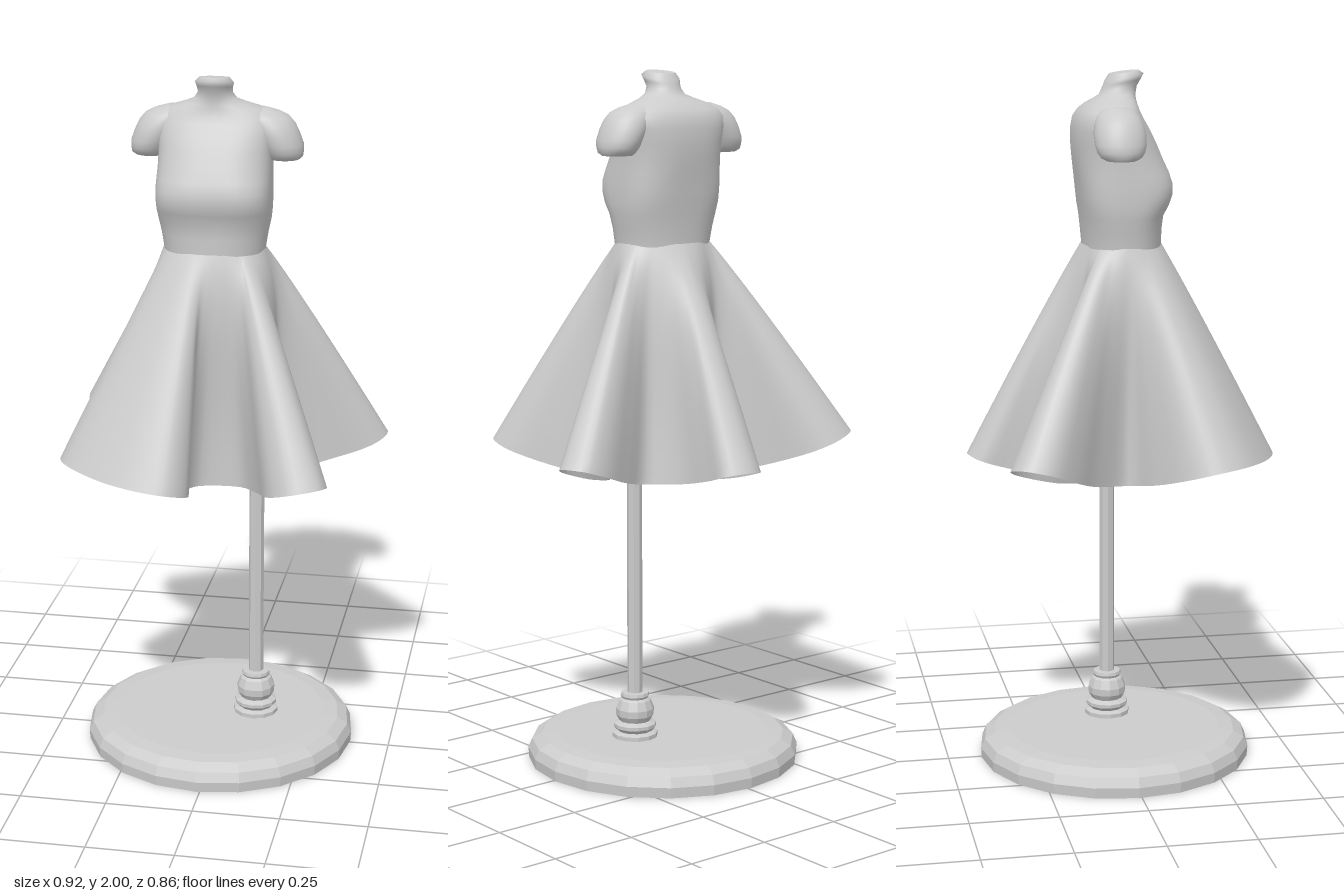
import * as THREE from 'three';

const grey = new THREE.MeshStandardMaterial({ color: 0xcccccc, side: THREE.DoubleSide });
const faceted = new THREE.MeshStandardMaterial({ color: 0xcccccc, flatShading: true });

// Skins closed rings of points, listed from bottom to top.
function loft(name, rings) {
  const n = rings[0].length;
  const index = [];
  for (let i = 0; i < rings.length - 1; i++) {
    for (let j = 0; j < n; j++) {
      const a = i * n + j, b = i * n + (j + 1) % n;
      index.push(a, b, b + n, a, b + n, a + n);
    }
  }
  const geometry = new THREE.BufferGeometry().setFromPoints(rings.flat());
  geometry.setIndex(index);
  geometry.computeVertexNormals();
  const mesh = new THREE.Mesh(geometry, grey);
  mesh.name = name;
  return mesh;
}

// Horizontal rounded-box ring between x0..x1 and z0..z1; tilt raises its front.
function ring(y, x0, x1, z0, z1, power = 2, tilt = 0, n = 48) {
  const round = v => Math.sign(v) * Math.abs(v) ** (2 / power);
  return Array.from({ length: n }, (_, j) => {
    const a = j / n * Math.PI * 2;
    const s = -round(Math.sin(a));
    return new THREE.Vector3((x0 + x1) / 2 + round(Math.cos(a)) * (x1 - x0) / 2,
      y + tilt * s, (z0 + z1) / 2 + s * (z1 - z0) / 2);
  });
}

// Flat lid: a repeated ring keeps the edge sharp, then it closes to its centre.
function lid(r) {
  const c = r.reduce((s, p) => s.add(p), new THREE.Vector3()).divideScalar(r.length);
  return [r.map(p => p.clone()), r.map(() => c.clone())];
}

function lathe(name, profile, sides, x, z) {
  const mesh = new THREE.Mesh(
    new THREE.LatheGeometry(profile.map(p => new THREE.Vector2(...p)), sides), faceted);
  mesh.position.set(x, 0, z);
  mesh.name = name;
  return mesh;
}

const CX = -0.022; // middle of the dress form

function torso() {
  // height, half width, back z, front z, squareness, tilt
  const rows = [
    [1.49, 0.141, -0.10, 0.118, 2.2, 0], [1.52, 0.143, -0.10, 0.12, 2.3, 0],
    [1.56, 0.149, -0.103, 0.12, 2.4, 0], [1.60, 0.157, -0.106, 0.123, 2.6, 0],
    [1.63, 0.16, -0.11, 0.137, 2.9, 0], [1.66, 0.161, -0.113, 0.147, 3, 0],
    [1.69, 0.161, -0.116, 0.147, 3, 0], [1.72, 0.16, -0.12, 0.138, 2.8, 0],
    [1.76, 0.159, -0.125, 0.12, 2.6, 0], [1.80, 0.16, -0.128, 0.103, 2.6, 0],
    [1.84, 0.165, -0.127, 0.083, 2.6, 0], [1.87, 0.168, -0.121, 0.066, 2.5, 0],
    [1.89, 0.158, -0.108, 0.056, 2.4, 0], [1.907, 0.132, -0.09, 0.052, 2.2, 0],
    [1.921, 0.09, -0.07, 0.05, 2, 0], [1.934, 0.06, -0.053, 0.05, 2, 0.002],
    [1.952, 0.048, -0.046, 0.054, 2, 0.005], [1.968, 0.05, -0.04, 0.065, 2, 0.008],
    [1.981, 0.054, -0.036, 0.073, 2, 0.01], [1.995, 0.042, -0.024, 0.06, 2, 0.005],
  ];
  const rings = rows.map(([y, w, z0, z1, p, t]) => ring(y, CX - w, CX + w, z0, z1, p, t));
  return loft('torso', [...rings, ...lid(rings.at(-1))]);
}

// Short cap sleeve; side is +1 for the left, -1 for the right.
function sleeve(name, side) {
  // height, inner and outer distance from the middle, half depth
  const rows = [
    [1.767, 0.145, 0.232, 0.04], [1.775, 0.14, 0.241, 0.056], [1.79, 0.13, 0.243, 0.066],
    [1.81, 0.12, 0.242, 0.071], [1.84, 0.10, 0.231, 0.072], [1.865, 0.085, 0.219, 0.067],
    [1.885, 0.07, 0.202, 0.058], [1.898, 0.06, 0.176, 0.046], [1.908, 0.06, 0.142, 0.026],
  ];
  const rings = rows.map(([y, a, b, d]) => {
    const [x0, x1] = [CX + side * a, CX + side * b].sort((p, q) => p - q);
    return ring(y, x0, x1, -0.024 - d, -0.024 + d, 2, 0, 28);
  });
  return loft(name, [...lid(rings[0]).reverse(), ...rings, ...lid(rings.at(-1))]);
}

// Flared skirt with five fluted folds, blended from the waist to the hem outline.
function skirt() {
  const hem = [
    [0.17, 0.01], // left fold
    [0.29, -0.055], [0.42, -0.095], [0.46, -0.15], [0.43, -0.215], [0.36, -0.22], [0.25, -0.17],
    [0.15, -0.13], // back fold
    [0.09, -0.21], [0.085, -0.32], [0.085, -0.40], [0.02, -0.43], [-0.04, -0.40], [-0.045, -0.32],
    [-0.055, -0.21], [-0.12, -0.13], // back right fold
    [-0.22, -0.21], [-0.31, -0.33], [-0.38, -0.36], [-0.45, -0.33], [-0.46, -0.26], [-0.39, -0.18],
    [-0.28, -0.10], [-0.20, 0], // wide front right fold
    [-0.29, 0.06], [-0.40, 0.14], [-0.43, 0.21], [-0.40, 0.29], [-0.28, 0.38], [-0.16, 0.425],
    [-0.08, 0.42], [-0.037, 0.35], [-0.07, 0.22], [-0.04, 0.14], // front left fold
    [0.07, 0.13], [0.135, 0.22], [0.19, 0.35], [0.26, 0.39], [0.33, 0.36], [0.34, 0.28],
    [0.26, 0.17], [0.19, 0.07],
  ].map(([x, z]) => new THREE.Vector3(x, 0.835 + 0.115 * (x * x + z * z) / 0.27, z));
  // Each hem point hangs from the waist along the averaged direction of its neighbours.
  const waist = hem.map((_, i) => {
    const d = new THREE.Vector2();
    for (let k = -2; k <= 2; k++) {
      const p = hem.at((i + k) % hem.length);
      d.add(new THREE.Vector2(p.x - CX, p.z).normalize());
    }
    d.normalize();
    return new THREE.Vector3(CX + 0.144 * d.x, 1.518, 0.01 + 0.112 * d.y);
  });
  const outline = pts => new THREE.CatmullRomCurve3(pts, true).getPoints(168).slice(0, -1);
  const low = outline(hem), high = outline(waist);
  const rings = [];
  for (let i = 0; i <= 24; i++) {
    const t = 1 - i / 24;
    rings.push(high.map((p, j) => {
      const q = p.clone().lerp(low[j], t ** 0.95);
      // The hollows between folds still flare a little just below the waist.
      const hollow = Math.max(0, 1 - Math.hypot(low[j].x, low[j].z) / 0.42);
      const flare = new THREE.Vector3(p.x - CX, 0, p.z - 0.01).normalize();
      q.addScaledVector(flare, 0.35 * hollow * t * (1 - t) ** 3);
      q.y = THREE.MathUtils.lerp(p.y, low[j].y, t);
      return q;
    }));
  }
  return loft('skirt', rings);
}

export function createModel() {
  const model = new THREE.Group();
  model.name = 'dressForm';
  model.add(torso(), sleeve('leftSleeve', 1), sleeve('rightSleeve', -1), skirt());

  // Stand
  model.add(lathe('base', [[0, 0], [0.395, 0], [0.397, 0.03], [0.385, 0.057],
    [0.355, 0.075], [0.31, 0.08], [0, 0.08]], 20, -0.01, -0.008));
  model.add(lathe('poleFoot', [[0.066, 0.075], [0.066, 0.092], [0.05, 0.098], [0.062, 0.11],
    [0.062, 0.12], [0.045, 0.128], [0.055, 0.145], [0.056, 0.165], [0.046, 0.19],
    [0.038, 0.196], [0.042, 0.203], [0.04, 0.212], [0, 0.214]], 12, 0.097, -0.01));
  model.add(lathe('pole', [[0.022, 0.2], [0.022, 1.5], [0, 1.5]], 8, 0.097, -0.01));
  return model;
}
